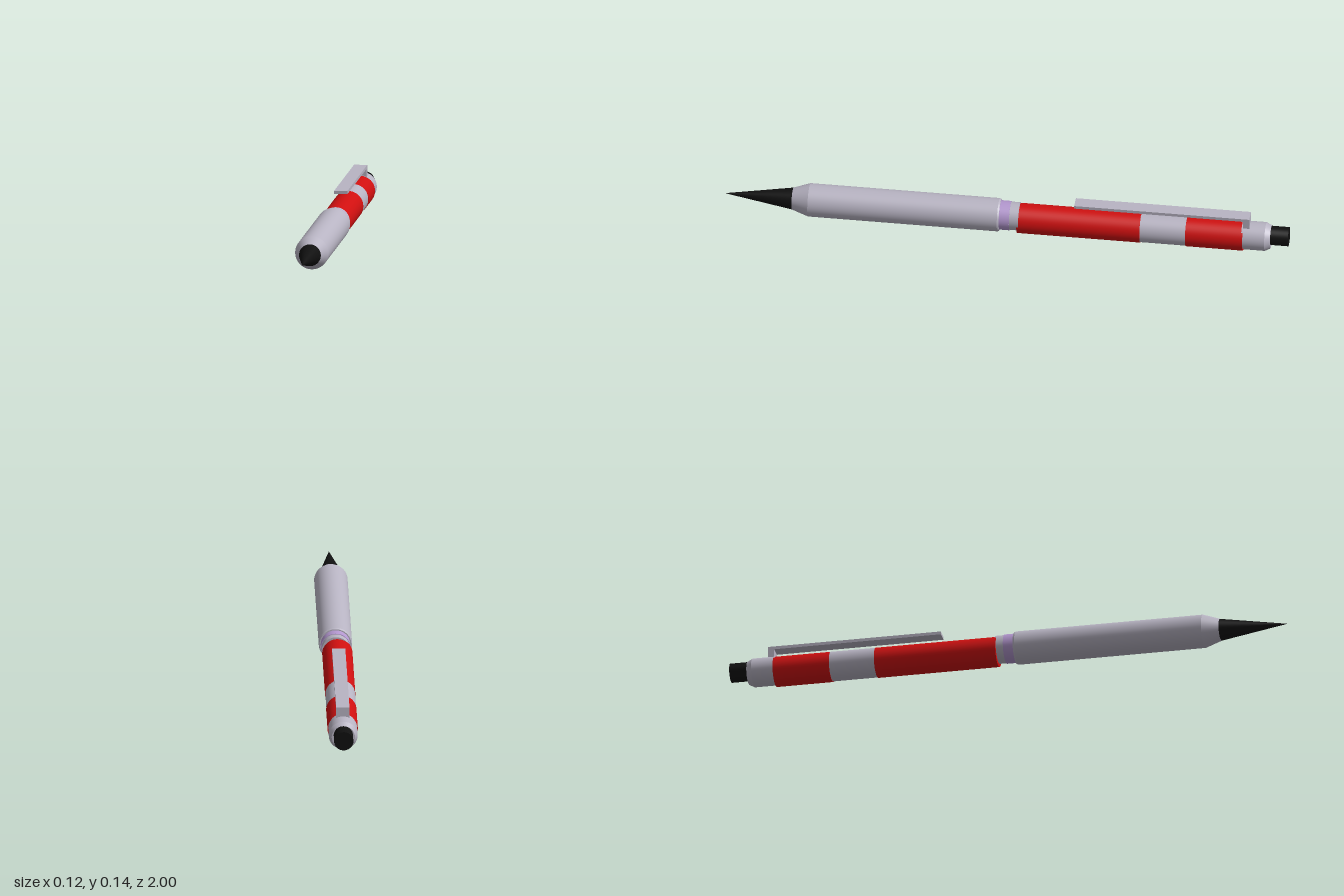
import * as THREE from 'three';

const mat = (name, color) => {
  const m = new THREE.MeshStandardMaterial({ color });
  m.name = name;
  return m;
};

export function createModel() {
  const silver = mat('silver', 0xb8b4c3);
  const red = mat('red', 0xd01010);
  const purple = mat('purple', 0xb498d0);
  const black = mat('black', 0x101010);
  const group = new THREE.Group();

  // Solid of revolution along z, from [radius, z] pairs running back to front.
  // Each straight run is its own lathe so edges between runs stay sharp.
  function turned(name, material, x, y, profile) {
    const part = new THREE.Group();
    part.name = name;
    for (let i = 0; i < profile.length - 1; i++) {
      const run = [profile[i], profile[i + 1]].map(([r, z]) => new THREE.Vector2(r, z));
      const geometry = new THREE.LatheGeometry(run, 48);
      geometry.rotateX(Math.PI / 2);
      const mesh = new THREE.Mesh(geometry, material);
      mesh.name = name + 'Surface';
      part.add(mesh);
    }
    part.position.set(x, y, 0);
    group.add(part);
  }

  const rod = (r, z0, z1) => [[0, z0], [r, z0], [r, z1], [0, z1]];

  function box(name, x, y, z, w, h, d) {
    const mesh = new THREE.Mesh(new THREE.BoxGeometry(w, h, d), silver);
    mesh.name = name;
    mesh.position.set(x, y, z);
    group.add(mesh);
  }

  // Front half: tip, grip and the joint behind it
  const frontY = 0.064;
  turned('tip', black, 0, frontY, [[0, 0.76], [0.039, 0.76], [0.0005, 1], [0, 1]]);
  turned('grip', silver, 0, frontY,
    [[0, 0.024], [0.056, 0.024], [0.059, 0.03], [0.059, 0.703], [0.039, 0.762], [0, 0.762]]);
  turned('jointRing', purple, 0, frontY, rod(0.052, -0.012, 0.026));
  turned('collar', silver, 0, frontY, rod(0.05, -0.044, -0.01));

  // Rear half sits slightly off the grip's axis
  const rearX = -0.005;
  turned('barrelCap', silver, rearX, 0.057,
    [[0, -0.937], [0.041, -0.937], [0.051, -0.918], [0.051, -0.835], [0, -0.835]]);
  turned('barrelBand', silver, rearX, 0.0545, rod(0.0525, -0.638, -0.474));
  turned('frontSleeve', red, rearX, 0.0535, rod(0.0535, -0.475, -0.038));
  turned('rearSleeve', red, rearX, 0.0535, rod(0.0535, -0.84, -0.637));
  turned('pushButton', black, rearX, 0.064, rod(0.034, -1, -0.93));

  // Pocket clip: long bar held by a post near the cap
  box('clipBar', rearX, 0.1365, -0.551, 0.047, 0.011, 0.622);
  box('clipPost', rearX, 0.115, -0.851, 0.047, 0.05, 0.022);

  return group;
}
